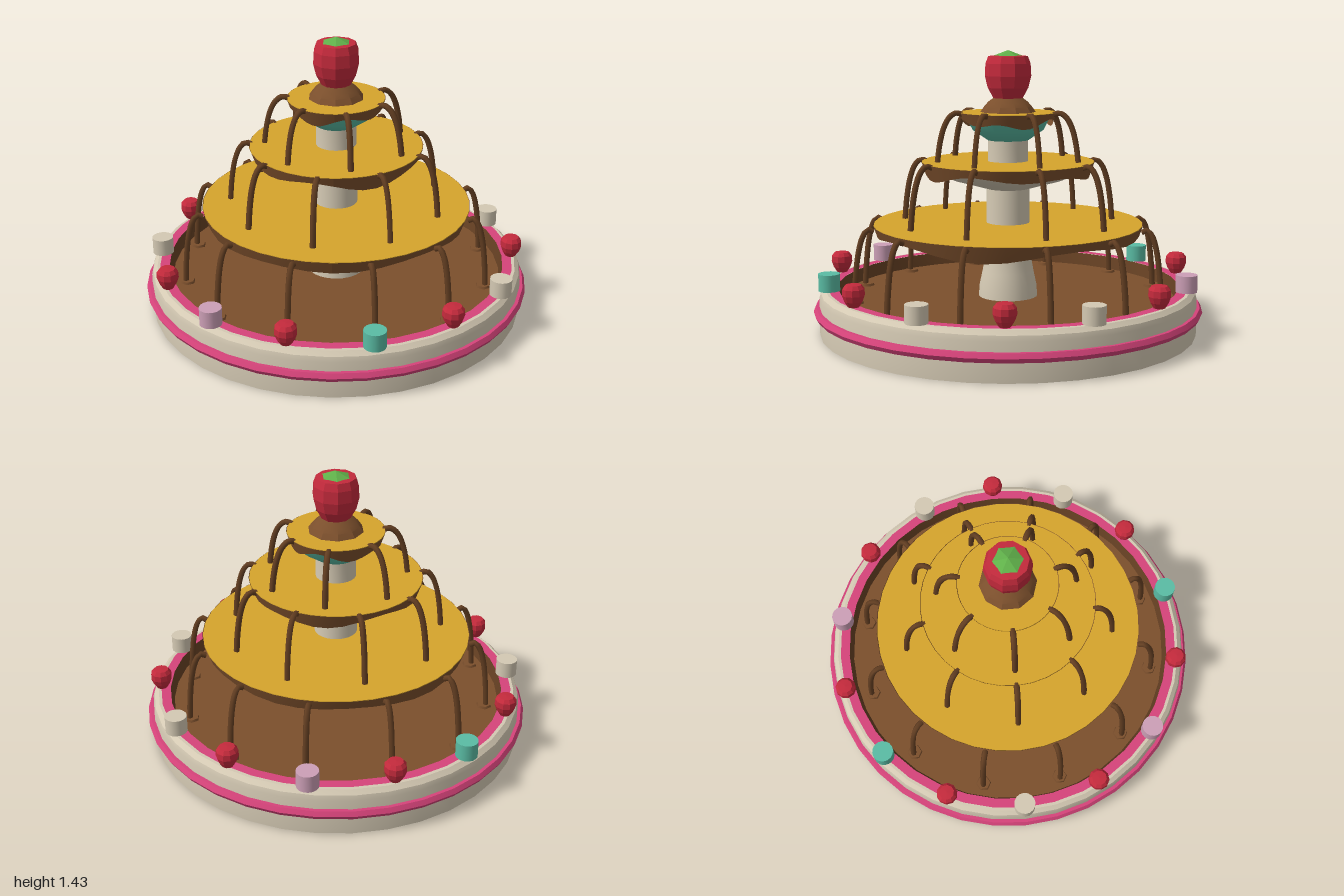
import * as THREE from 'three';
import { toCreasedNormals } from 'three/addons/utils/BufferGeometryUtils.js';

const V2 = (p) => new THREE.Vector2(p[0], p[1]);

function material(name, color, extra = {}) {
  const m = new THREE.MeshStandardMaterial({ color, ...extra });
  m.name = name;
  return m;
}

export function createModel() {
  const root = new THREE.Group();
  root.name = 'dessertFountain';
  const mats = {
    cream: material('cream', 0xd4c9b3),
    pink: material('pink', 0xd6437a),
    gold: material('gold', 0xd6a42c),
    chocolate: material('chocolate', 0x7b4f2c, { side: THREE.DoubleSide }),
    dark: material('darkChocolate', 0x643f22),
    red: material('berryRed', 0xc42a3c),
    green: material('leafGreen', 0x60b04a),
    teal: material('teal', 0x5abca4),
    lilac: material('lilac', 0xcc9fb6),
    plum: material('plum', 0xab5e80),
  };

  function add(name, geometry, mat, x = 0, y = 0, z = 0, parent = root) {
    const mesh = new THREE.Mesh(geometry, mat);
    mesh.name = name;
    mesh.position.set(x, y, z);
    parent.add(mesh);
    return mesh;
  }
  const lathe = (points, segments = 36, crease = 0.5) =>
    toCreasedNormals(new THREE.LatheGeometry(points.map(V2), segments), crease);

  // Basin with bevelled rim, inner wall and chocolate pool
  const poolY = 0.17;
  add('basin', lathe([[0, 0], [0.97, 0], [0.97, 0.19], [0.962, 0.215], [0.94, 0.235], [0.878, 0.235]]), mats.cream);
  add('basinInnerWall', lathe([[0.878, 0.235], [0.86, poolY]]), mats.dark);
  add('pool', new THREE.CircleGeometry(0.865, 36).rotateX(-Math.PI / 2), mats.chocolate, 0, poolY, 0);
  add('rimBand', new THREE.RingGeometry(0.876, 0.925, 36).rotateX(-Math.PI / 2), mats.pink, 0, 0.237, 0);
  const trim = new THREE.TorusGeometry(0.974, 0.026, 6, 36).rotateX(Math.PI / 2);
  add('sideTrim', toCreasedNormals(trim, 0.5), mats.pink, 0, 0.12, 0);

  // Central column
  add('column', lathe([[0.152, poolY], [0.147, 0.23], [0.132, 0.3], [0.118, 0.38],
    [0.112, 0.45], [0.11, 0.75], [0.103, 0.88], [0.103, 1.0]], 24), mats.cream);

  // Wavy chocolate coating hanging from a bowl rim
  function skirtGeometry(radius, drop, seed) {
    const g = new THREE.CylinderGeometry(radius, radius, 1, 36, 1, true);
    const p = g.attributes.position;
    for (let i = 0; i < p.count; i++) {
      if (p.getY(i) > 0) { p.setY(i, 0); continue; }
      const a = Math.atan2(p.getZ(i), p.getX(i));
      const d = drop * (0.72 + 0.2 * Math.sin(5 * a + seed) + 0.15 * Math.sin(3 * a + 2 * seed));
      const s = 1 - 0.35 * d / radius;
      p.setXYZ(i, p.getX(i) * s, -d, p.getZ(i) * s);
    }
    g.computeVertexNormals();
    return g;
  }

  // Chocolate stream arching from a rim down to the level below
  function streamGeometry(r0, y0, r1, y1) {
    const at = (u, v) => new THREE.Vector3(r0 + (r1 - r0) * u, y1 + (y0 - y1) * v, 0);
    const curve = new THREE.CatmullRomCurve3([at(-0.08, 0.97), at(0.2, 1), at(0.48, 0.91),
      at(0.72, 0.7), at(0.9, 0.36), at(1, 0)]);
    return new THREE.TubeGeometry(curve, 16, 0.015, 6, false);
  }

  // Bowl tiers: rim radius and height, foot radius and height, stream start and landing
  const tiers = [
    { name: 'lower', r: 0.69, y: 0.55, foot: 0.11, bottom: 0.41, start: 0.705, top: 0.545, land: 0.8, floor: poolY, n: 12, drop: 0.08, mat: mats.plum },
    { name: 'middle', r: 0.44, y: 0.868, foot: 0.105, bottom: 0.73, start: 0.44, top: 0.87, land: 0.55, floor: 0.555, n: 9, drop: 0.08, mat: mats.cream },
    { name: 'upper', r: 0.245, y: 1.118, foot: 0.105, bottom: 0.98, start: 0.245, top: 1.121, land: 0.365, floor: 0.873, n: 7, drop: 0.075, mat: mats.teal },
  ];
  tiers.forEach((t, index) => {
    const tier = new THREE.Group();
    tier.name = t.name + 'Tier';
    root.add(tier);
    const mid = t.foot + (t.r - t.foot) * 0.55;
    add('bowl', lathe([[0.02, t.bottom], [t.foot, t.bottom], [mid, t.bottom + (t.y - t.bottom) * 0.38],
      [t.r - 0.04, t.y - 0.04], [t.r - 0.012, t.y]], 36, 0.9), t.mat, 0, 0, 0, tier);
    add('goldSurface', new THREE.CylinderGeometry(t.r, t.r, 0.009, 36), mats.gold, 0, t.y, 0, tier);
    add('chocolateCoating', skirtGeometry(t.r + 0.003, t.drop, index * 1.7 + 0.6), mats.chocolate, 0, t.y + 0.003, 0, tier);
    const stream = streamGeometry(t.start, t.top, t.land, t.floor);
    for (let k = 0; k < t.n; k++) {
      const a = (k + 0.5) * 2 * Math.PI / t.n;
      add('stream', stream, mats.dark, 0, 0, 0, tier).rotation.y = a;
      // Ripple where a stream meets the pool
      if (index === 0) {
        add('ripple', new THREE.CylinderGeometry(0.036, 0.04, 0.012, 6), mats.chocolate,
          Math.cos(a) * 0.79, poolY + 0.006, -Math.sin(a) * 0.79, tier);
      }
    }
  });

  // Chocolate crown
  add('crown', lathe([[0.143, 1.12], [0.122, 1.15], [0.1, 1.175], [0.07, 1.197], [0, 1.2]], 10), mats.chocolate);

  // Faceted berry of unit radius and height with a chosen foot and top width
  const berry = (foot, top) => lathe([[0, 0], [foot, 0], [(foot + 1) * 0.54, 0.25], [1, 0.52],
    [0.97, 0.8], [top, 0.97], [0, 1]], 10, 0.05);
  add('topBerry', berry(0.62, 0.85), mats.red, 0, 1.19, 0).scale.set(0.118, 0.222, 0.118);
  add('berryLeaf', toCreasedNormals(new THREE.ConeGeometry(0.074, 0.028, 6), 0.05), mats.green, 0, 1.421, 0);

  // Treats around the rim: berries alternating with marshmallows
  const rimBerry = berry(0.5, 0.7);
  const marshmallow = new THREE.CylinderGeometry(0.055, 0.055, 0.087, 16);
  const sweets = [mats.cream, mats.teal, mats.lilac];
  for (let i = 0; i < 14; i++) {
    const a = i * 2 * Math.PI / 14;
    const x = Math.cos(a) * 0.92, z = Math.sin(a) * 0.92;
    if (i % 2 === 0) {
      const b = add('rimBerry', rimBerry, mats.red, x, 0.245, z);
      b.scale.set(0.055, 0.11, 0.055);
      b.rotation.y = -a;
    } else {
      add('marshmallow', marshmallow, sweets[((i - 1) / 2) % 3], x, 0.28, z);
    }
  }
  return root;
}
